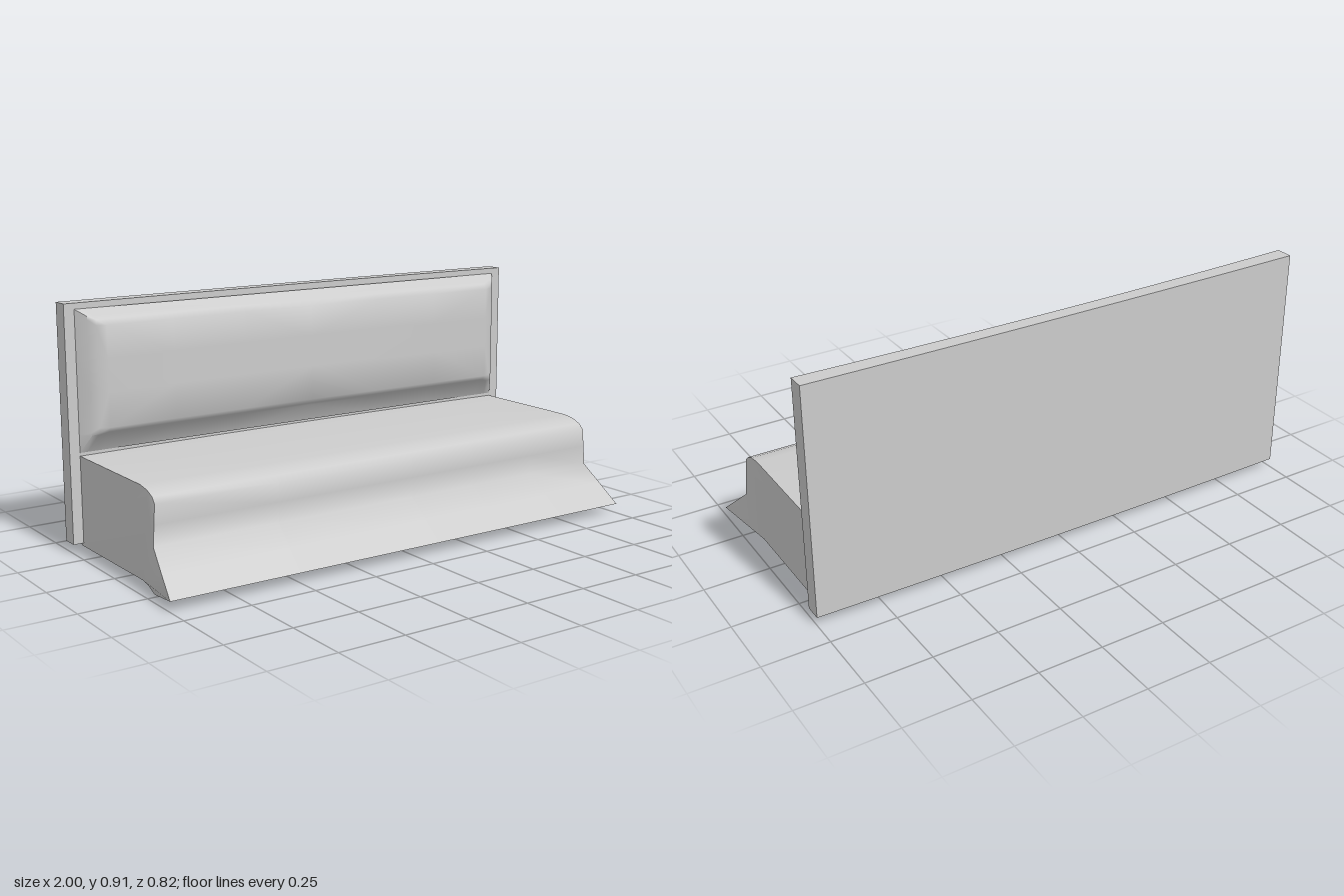
import * as THREE from 'three';
import { toCreasedNormals } from 'three/addons/utils/BufferGeometryUtils.js';

const material = new THREE.MeshStandardMaterial({ color: 0xcccccc });

function makeMesh(name, geometry, crease = 0.9) {
  const mesh = new THREE.Mesh(toCreasedNormals(geometry, crease), material);
  mesh.name = name;
  return mesh;
}

function buildGeometry(positions, index) {
  const g = new THREE.BufferGeometry();
  g.setAttribute('position', new THREE.Float32BufferAttribute(positions, 3));
  g.setIndex(index);
  return g;
}

// Upright board, gently bowed towards the back in the middle
function backBoard() {
  const g = new THREE.BoxGeometry(2, 0.88, 0.065, 10, 1, 1);
  g.translate(0, 0.477, -0.3675);
  const p = g.attributes.position;
  for (let i = 0; i < p.count; i++) {
    const bow = 1 - p.getX(i) ** 2;
    p.setZ(i, p.getZ(i) - bow * (p.getZ(i) > -0.37 ? 0.018 : 0.008));
  }
  return makeMesh('backBoard', g);
}

// Padded cushion: a grid whose depth steps up from every edge
function backCushion() {
  const xs = [-0.96, -0.93, -0.905, -0.87, -0.6, -0.3, 0, 0.3, 0.6, 0.87, 0.905, 0.93, 0.96];
  const ys = [0.375, 0.44, 0.452, 0.47, 0.6, 0.72, 0.84, 0.86, 0.872, 0.895];
  const depths = [0, 0.042, 0.06, 0.074];
  const depthAt = (i, n) => Math.min(i, n - 1 - i, 3);
  const positions = [], index = [];
  ys.forEach((y, j) => xs.forEach((x, i) => {
    const level = Math.min(depthAt(i, xs.length), depthAt(j, ys.length));
    const bow = 0.012 * (1 - x * x);
    positions.push(x, y, -0.336 + depths[level] - (level ? bow : 0.012 * bow));
  }));
  const n = xs.length;
  for (let j = 0; j < ys.length - 1; j++) {
    for (let i = 0; i < n - 1; i++) {
      const a = j * n + i, b = a + 1, c = a + n + 1, d = a + n;
      // Turn the diagonal so that the corners mitre
      const left = i < n / 2 - 1, low = j < ys.length / 2 - 1;
      if (left === low) index.push(a, b, c, a, c, d);
      else index.push(a, b, d, b, c, d);
    }
  }
  return makeMesh('backCushion', buildGeometry(positions, index), 1.2);
}

// Seat body: a side profile of [z, y, half width] swept from side to side
function seat() {
  const profile = [
    [-0.36, 0.363, 0.96], [0.14, 0.363, 0.96], [0.19, 0.355, 0.96], [0.225, 0.34, 0.96],
    [0.245, 0.32, 0.962], [0.247, 0.25, 0.966], [0.249, 0.175, 0.973], [0.33, 0.107, 0.987],
    [0.41, 0.04, 1], [0.225, 0.003, 0.962], [0.18, 0.02, 0.96], [0.14, 0.028, 0.96],
    [-0.345, 0.025, 0.96], [-0.39, 0.037, 0.96], [-0.36, 0.05, 0.96],
  ];
  const columns = [-1, -0.5, 0.1, 0.4, 0.7, 1];
  const m = profile.length, positions = [], index = [];
  for (const c of columns) {
    // The underside rises towards one end
    const rise = Math.max(0, (c - 0.1) / 0.9) * 0.9;
    for (const [z, y, half] of profile) {
      positions.push(c * half, y + rise * Math.max(0, 0.036 - y), z);
    }
  }
  for (let k = 0; k < columns.length - 1; k++) {
    for (let i = 0; i < m; i++) {
      const a = k * m + i, b = k * m + (i + 1) % m;
      index.push(a, b, b + m, a, b + m, a + m);
    }
  }
  // End walls
  const outline = profile.map(([z, y]) => new THREE.Vector2(z, y));
  const last = (columns.length - 1) * m;
  const area = (a, b, c) => (outline[b].x - outline[a].x) * (outline[c].y - outline[a].y)
    - (outline[b].y - outline[a].y) * (outline[c].x - outline[a].x);
  for (const tri of THREE.ShapeUtils.triangulateShape(outline, [])) {
    const [a, b, c] = area(...tri) < 0 ? tri : [tri[0], tri[2], tri[1]];
    index.push(last + a, last + b, last + c, a, c, b);
  }
  return makeMesh('seat', buildGeometry(positions, index));
}

export function createModel() {
  const group = new THREE.Group();
  group.name = 'bench';
  group.add(backBoard(), backCushion(), seat());
  return group;
}
